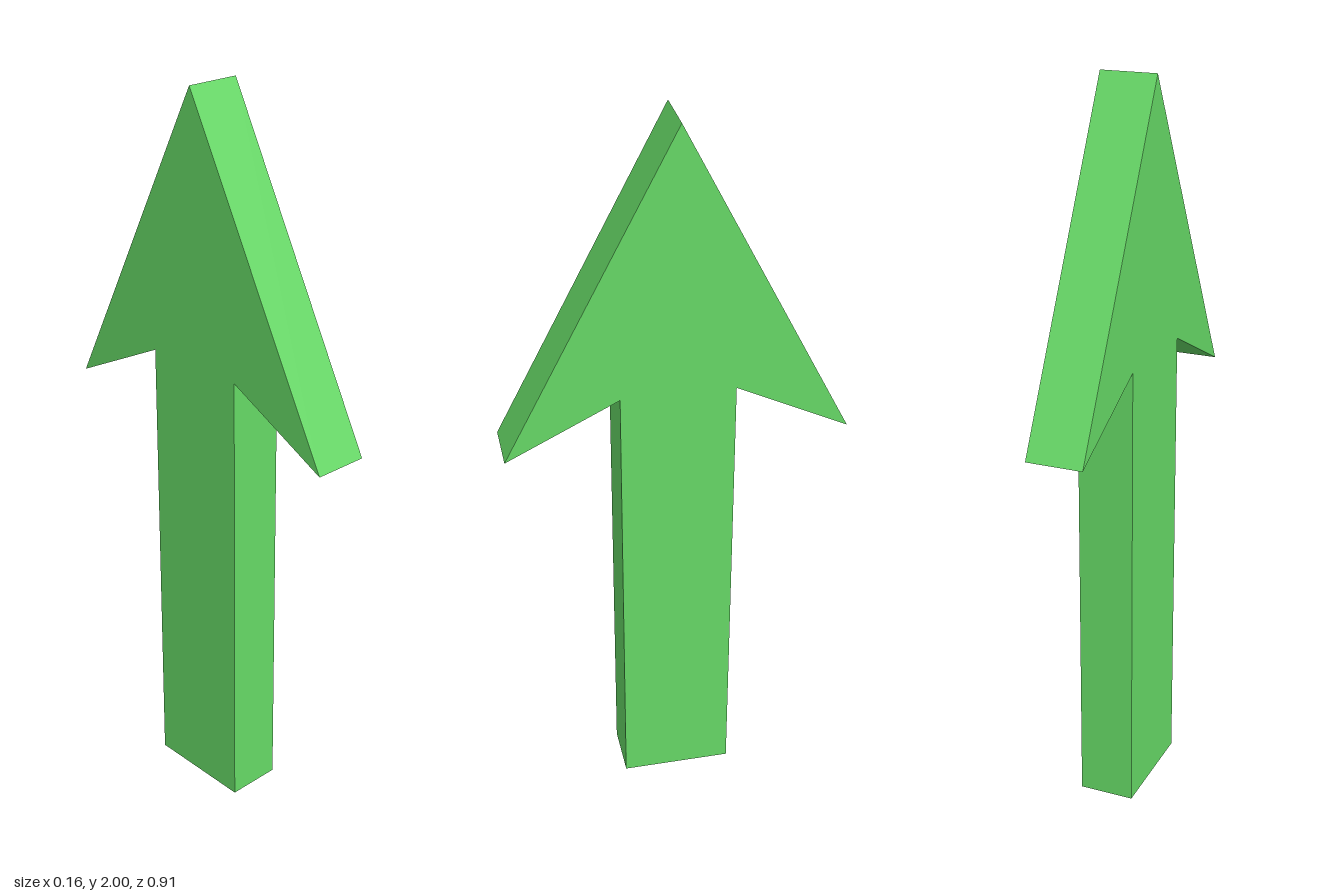
import * as THREE from 'three';

export function createModel() {
  const group = new THREE.Group();
  group.name = 'arrow';

  // Arrow outline as (z, y): shaft, swept-back barbs and tip
  const outline = new THREE.Shape([
    [-0.145, 0], [0.16, 0], [0.153, 1.28], [0.455, 1.13],
    [-0.005, 2], [-0.453, 1.13], [-0.15, 1.28],
  ].map(([z, y]) => new THREE.Vector2(z, y)));

  // Thickness runs along x
  const thickness = 0.153;
  const geometry = new THREE.ExtrudeGeometry(outline, { depth: thickness, bevelEnabled: false });
  geometry.translate(0, 0, -thickness / 2);
  geometry.rotateY(-Math.PI / 2);

  // Slight lean and twist of the whole slab
  const p = geometry.attributes.position;
  for (let i = 0; i < p.count; i++) {
    p.setX(i, p.getX(i) + 0.0025 - 0.004 * p.getY(i) - 0.008 * p.getZ(i));
  }
  geometry.computeVertexNormals();

  const green = new THREE.MeshStandardMaterial({ color: 0x66d966, flatShading: true });
  const arrow = new THREE.Mesh(geometry, green);
  arrow.name = 'arrowBody';
  group.add(arrow);
  return group;
}
